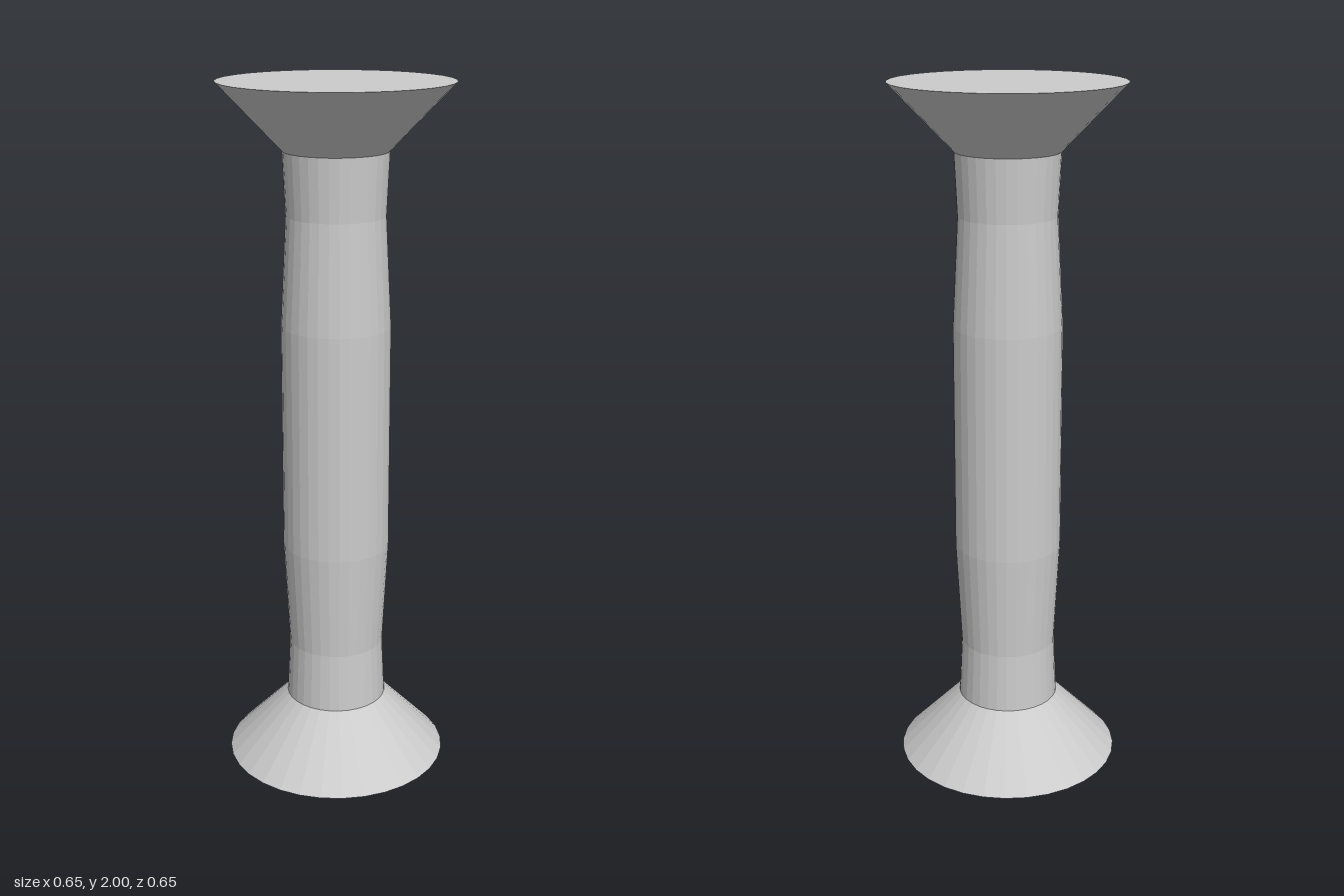
import * as THREE from 'three';

const SIDES = 32;
const FLARE = 0.325, NECK = 0.147, WAIST = 0.139, BELLY = 0.155;
const FLARE_HEIGHT = 0.185;

export function createModel() {
  const model = new THREE.Group();
  model.name = 'column';
  const material = new THREE.MeshStandardMaterial({ color: 0xcccccc, flatShading: true });

  function add(name, geometry, y) {
    const mesh = new THREE.Mesh(geometry, material);
    mesh.name = name;
    mesh.position.y = y;
    model.add(mesh);
  }

  // Flared base and capital, mirror images of each other
  add('base', new THREE.CylinderGeometry(NECK, FLARE, FLARE_HEIGHT, SIDES), FLARE_HEIGHT / 2);
  add('capital', new THREE.CylinderGeometry(FLARE, NECK, FLARE_HEIGHT, SIDES), 2 - FLARE_HEIGHT / 2);

  // Shaft: narrows to a waist near each end and swells in the middle
  const lower = [[NECK, FLARE_HEIGHT], [WAIST, 0.36], [BELLY, 0.67]];
  const upper = lower.map(([r, y]) => [r, 2 - y]).reverse();
  const profile = [...lower, ...upper].map(([r, y]) => new THREE.Vector2(r, y));
  add('shaft', new THREE.LatheGeometry(profile, SIDES), 0);

  return model;
}
